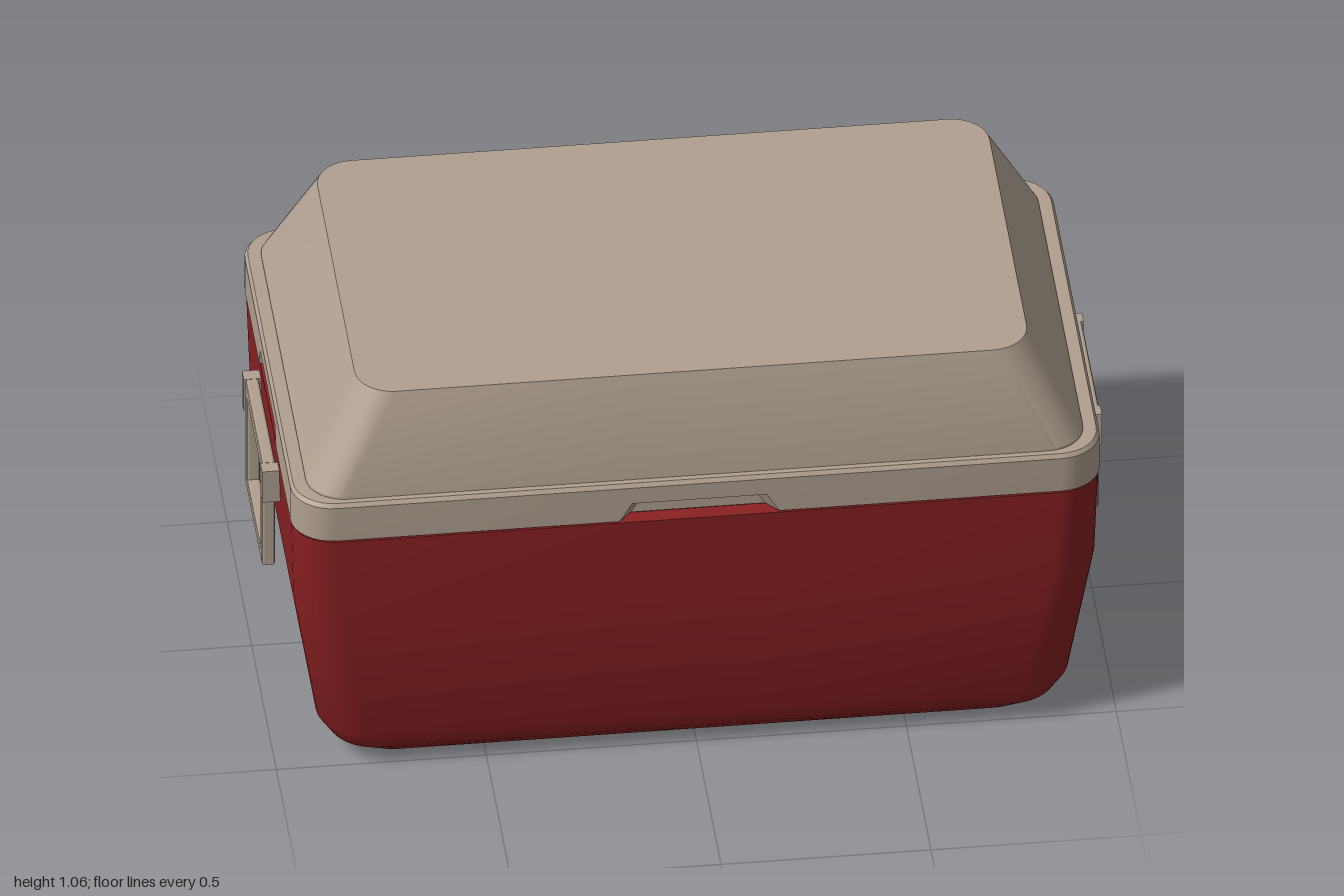
import * as THREE from 'three';
import { toCreasedNormals } from 'three/addons/utils/BufferGeometryUtils.js';

const red = new THREE.MeshStandardMaterial({ color: 0x8a2022 });
red.name = 'red shell';
const beige = new THREE.MeshStandardMaterial({ color: 0xb0a090 });
beige.name = 'beige plastic';

// Rounded rectangle as [x, z] points; the two ends and the front carry a recess
// of the given half widths and depth.
function outline({ hx, hz, r, side = 0.15, front = 0.16, depth = 0 }) {
  const pts = [];
  const corner = (sx, sz, start) => {
    for (let i = 0; i <= 8; i++) {
      const a = start + (i / 8) * Math.PI / 2;
      pts.push([sx * (hx - r) + r * Math.cos(a), sz * (hz - r) + r * Math.sin(a)]);
    }
  };
  const recess = (w) => [[-w, 0], [-w + 0.03, depth], [w - 0.03, depth], [w, 0]];
  for (const [t, d] of recess(side)) pts.push([hx - d, t]);
  corner(1, 1, 0);
  for (const [t, d] of recess(front)) pts.push([-t, hz - d]);
  corner(-1, 1, Math.PI / 2);
  for (const [t, d] of recess(side)) pts.push([-hx + d, -t]);
  corner(-1, -1, Math.PI);
  corner(1, -1, Math.PI * 1.5);
  return pts;
}

// Closed skin over outlines stacked from bottom to top
function loft(rings, crease) {
  const pos = [], idx = [];
  const loops = rings.map(outline);
  const n = loops[0].length;
  loops.forEach((loop, k) => loop.forEach(([x, z]) => pos.push(x, rings[k].y, z)));
  for (let k = 0; k < rings.length - 1; k++) {
    for (let j = 0; j < n; j++) {
      const a = k * n + j, b = k * n + (j + 1) % n;
      idx.push(a, a + n, b, b, a + n, b + n);
    }
  }
  const last = rings.length - 1, c = pos.length / 3;
  pos.push(0, rings[0].y, 0, 0, rings[last].y, 0);
  for (let j = 0; j < n; j++) {
    const m = (j + 1) % n;
    idx.push(c, j, m, c + 1, last * n + m, last * n + j);
  }
  const g = new THREE.BufferGeometry();
  g.setAttribute('position', new THREE.Float32BufferAttribute(pos, 3));
  g.setIndex(idx);
  return toCreasedNormals(g, crease);
}

function add(parent, name, geometry, material) {
  const mesh = new THREE.Mesh(geometry, material);
  mesh.name = name;
  parent.add(mesh);
  return mesh;
}

const polygon = (pts) => new THREE.Shape(pts.map(([x, y]) => new THREE.Vector2(x, y)));
const rect = (w, y0, y1) => [[-w, y0], [w, y0], [w, y1], [-w, y1]];

// Swing handle with its two pivot blocks, built for the +x end
function makeHandle() {
  const group = new THREE.Group();
  const b = 0.006;
  const frame = polygon(rect(0.168 - b, 0.36 + b, 0.66 - b));
  frame.holes.push(polygon(rect(0.135 + b, 0.39 - b, 0.625 + b).reverse()));
  const g = new THREE.ExtrudeGeometry(frame, {
    depth: 0.02, bevelEnabled: true, bevelSize: b, bevelThickness: b, bevelSegments: 2,
  });
  g.rotateY(Math.PI / 2);
  add(group, 'handleFrame', g, beige).position.x = 0.97;
  for (const s of [-1, 1]) {
    const block = new THREE.BoxGeometry(0.06, 0.09, 0.035);
    add(group, 'handlePivot', block, beige).position.set(0.97, 0.615, s * 0.1865);
    // pin joining block and frame
    const pin = new THREE.CylinderGeometry(0.01, 0.01, 0.03, 12).rotateX(Math.PI / 2);
    add(group, 'handlePin', pin, beige).position.set(0.98, 0.64, s * 0.165);
  }
  return group;
}

export function createModel() {
  const model = new THREE.Group();
  model.name = 'coolBox';
  const box = new THREE.Group();
  box.name = 'box';
  box.position.z = 0.005;
  model.add(box);

  // Tapered tub with a rounded base
  add(box, 'tub', loft([
    { y: 0, hx: 0.73, hz: 0.42, r: 0.07 },
    { y: 0.014, hx: 0.80, hz: 0.465, r: 0.09 },
    { y: 0.052, hx: 0.865, hz: 0.505, r: 0.11 },
    { y: 0.10, hx: 0.895, hz: 0.522, r: 0.12 },
    { y: 0.46, hx: 0.953, hz: 0.552, r: 0.11 },
    { y: 0.70, hx: 0.96, hz: 0.56, r: 0.10 },
  ], 0.65), red);

  // Lid rim with finger recesses at the front and both ends
  const rim = { hx: 0.963, hz: 0.561, r: 0.10 };
  add(box, 'lidRim', loft([
    { ...rim, y: 0.705, side: 0.171, front: 0.19, depth: 0.035 },
    { ...rim, y: 0.755, side: 0.15, front: 0.16, depth: 0.035 },
    { ...rim, y: 0.755 },
    { ...rim, y: 0.80 },
    { y: 0.81, hx: 0.956, hz: 0.554, r: 0.095 },
  ], 0.5), beige);

  // Thin core that fills the seam between tub and lid
  add(box, 'seam', loft([
    { y: 0.69, hx: 0.92, hz: 0.52, r: 0.08 },
    { y: 0.71, hx: 0.92, hz: 0.52, r: 0.08 },
  ], 0.5), red);

  // Sloping lid with a flat top
  add(box, 'lidDome', loft([
    { y: 0.80, hx: 0.925, hz: 0.54, r: 0.09 },
    { y: 0.815, hx: 0.925, hz: 0.54, r: 0.09 },
    { y: 1.062, hx: 0.80, hz: 0.466, r: 0.09 },
  ], 0.4), beige);

  // One handle at each end
  ['rightHandle', 'leftHandle'].forEach((name, i) => {
    const handle = makeHandle();
    handle.name = i ? 'rightHandle' : 'leftHandle';
    handle.rotation.y = i * Math.PI;
    box.add(handle);
  });

  // Hinge plates on the back
  const plate = polygon([
    [-0.055, 0.64], [0.055, 0.64], [0.083, 0.67], [0.083, 0.74],
    [0.06, 0.76], [-0.06, 0.76], [-0.083, 0.74], [-0.083, 0.67],
  ]);
  for (const s of [-1, 1]) {
    const g = new THREE.ExtrudeGeometry(plate, { depth: 0.025, bevelEnabled: false });
    add(box, 'hingePlate', g, beige).position.set(s * 0.635, 0, -0.57);
  }
  return model;
}
